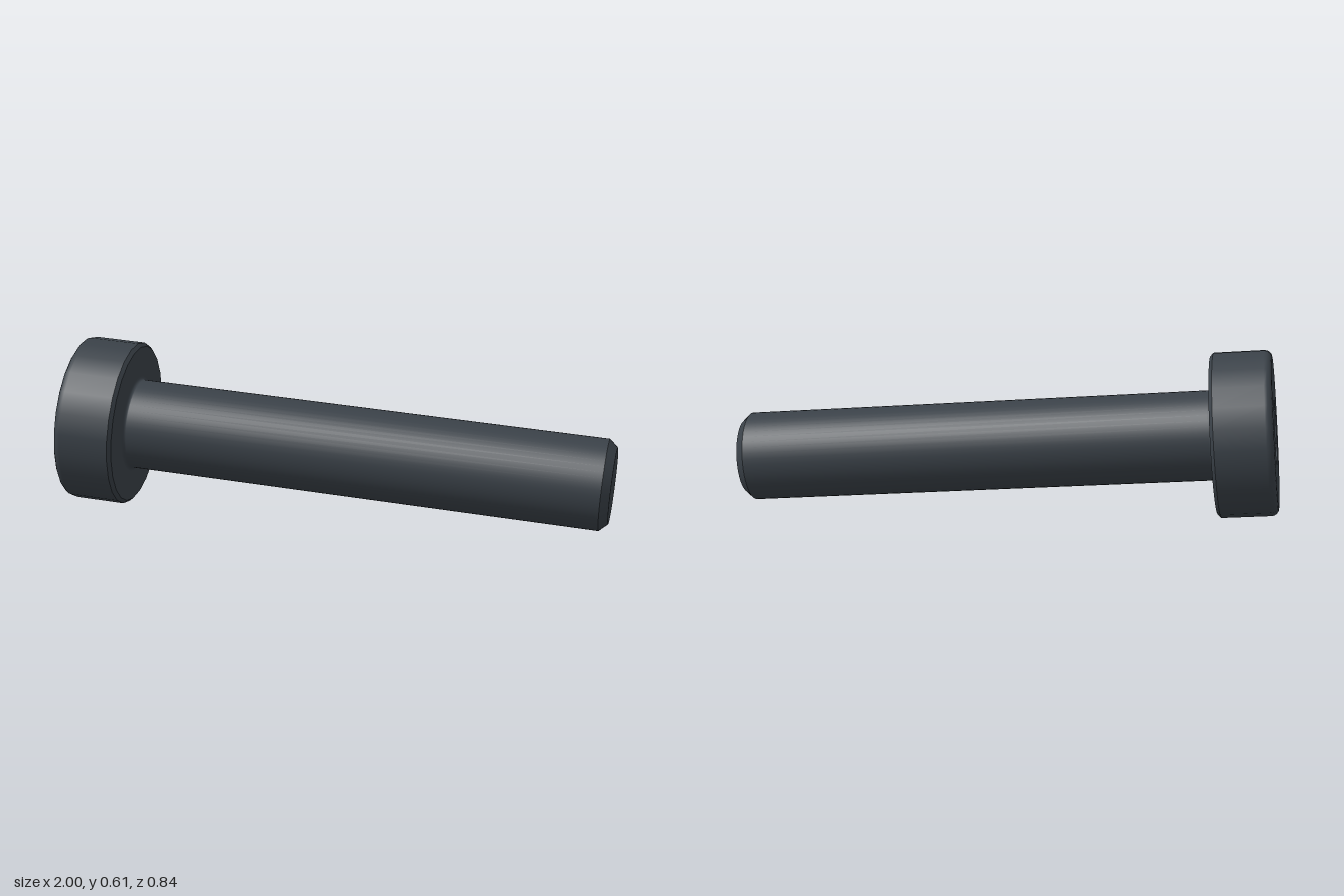
import * as THREE from 'three';
import { mergeGeometries } from 'three/addons/utils/BufferGeometryUtils.js';

// Local frame: the bolt axis is +y, from the tip (0) to the top of the head
const TIP_R = 0.135, SHANK_R = 0.162, HEAD_R = 0.297;
const SEAT = 1.74, TOP = 1.958, ROUND = 0.027;
const HEX_R = 0.125, HEX_DEPTH = 0.15;
const HEAD_SIDES = 24, SHANK_SIDES = 48;

// Revolve separate profile sections, keeping a sharp edge between them
function revolve(sections, sides) {
  return mergeGeometries(sections.map(s =>
    new THREE.LatheGeometry(s.map(([r, y]) => new THREE.Vector2(r, y)), sides)));
}

// Points of a regular polygon in the shape plane
function ring(radius, sides) {
  return Array.from({ length: sides }, (_, i) => {
    const a = i / sides * Math.PI * 2;
    return new THREE.Vector2(radius * Math.sin(a), radius * Math.cos(a));
  });
}

// Quarter-round profile between two directions
function arc(cr, cy, radius, from, to, steps = 4) {
  return Array.from({ length: steps + 1 }, (_, i) => {
    const a = from + (to - from) * i / steps;
    return [cr + radius * Math.cos(a), cy + radius * Math.sin(a)];
  });
}

export function createModel() {
  const model = new THREE.Group();
  const bolt = new THREE.Group();
  bolt.name = 'bolt';
  model.add(bolt);

  const steel = new THREE.MeshStandardMaterial({ color: 0x3a4148 });
  steel.name = 'blackened steel';

  const add = (name, geometry) => {
    const mesh = new THREE.Mesh(geometry, steel);
    mesh.name = name;
    bolt.add(mesh);
  };

  // Shank with chamfered tip and a small fillet below the head
  const fillet = 0.012;
  add('shank', revolve([
    [[0, 0], [TIP_R, 0]],
    [[TIP_R, 0], [SHANK_R, 0.03]],
    [[SHANK_R, 0.03], ...arc(SHANK_R + fillet, SEAT - fillet, fillet, Math.PI, Math.PI / 2)],
  ], SHANK_SIDES));

  // Head underside, chamfer, wall and rounded upper rim
  add('head', revolve([
    [[SHANK_R, SEAT], [HEAD_R - 0.012, SEAT]],
    [[HEAD_R - 0.012, SEAT], [HEAD_R, SEAT + 0.012]],
    [[HEAD_R, SEAT + 0.012], ...arc(HEAD_R - ROUND, TOP - ROUND, ROUND, 0, Math.PI / 2)],
  ], HEAD_SIDES));

  // Flat top of the head, pierced by the hexagon
  const face = new THREE.Shape(ring(HEAD_R - ROUND, HEAD_SIDES));
  face.holes.push(new THREE.Path(ring(HEX_R, 6)));
  add('headTop', new THREE.ShapeGeometry(face).rotateX(-Math.PI / 2).translate(0, TOP, 0));

  // Hexagonal socket: inward walls and floor
  const socket = revolve([
    [[HEX_R, TOP], [HEX_R, TOP - HEX_DEPTH]],
    [[HEX_R, TOP - HEX_DEPTH], [0, TOP - HEX_DEPTH]],
  ], 6).toNonIndexed();
  socket.computeVertexNormals();
  add('hexSocket', socket);

  // Lay the bolt down at its resting angle, one hexagon corner upward
  const axis = new THREE.Vector3(-1, 0.08, -0.213).normalize();
  const side = new THREE.Vector3().crossVectors(axis, new THREE.Vector3(0, 1, 0)).normalize();
  const up = new THREE.Vector3().crossVectors(side, axis);
  bolt.quaternion.setFromRotationMatrix(new THREE.Matrix4().makeBasis(side, axis, up));
  bolt.position.set(0.97, 0.161, 0.27);
  return model;
}
